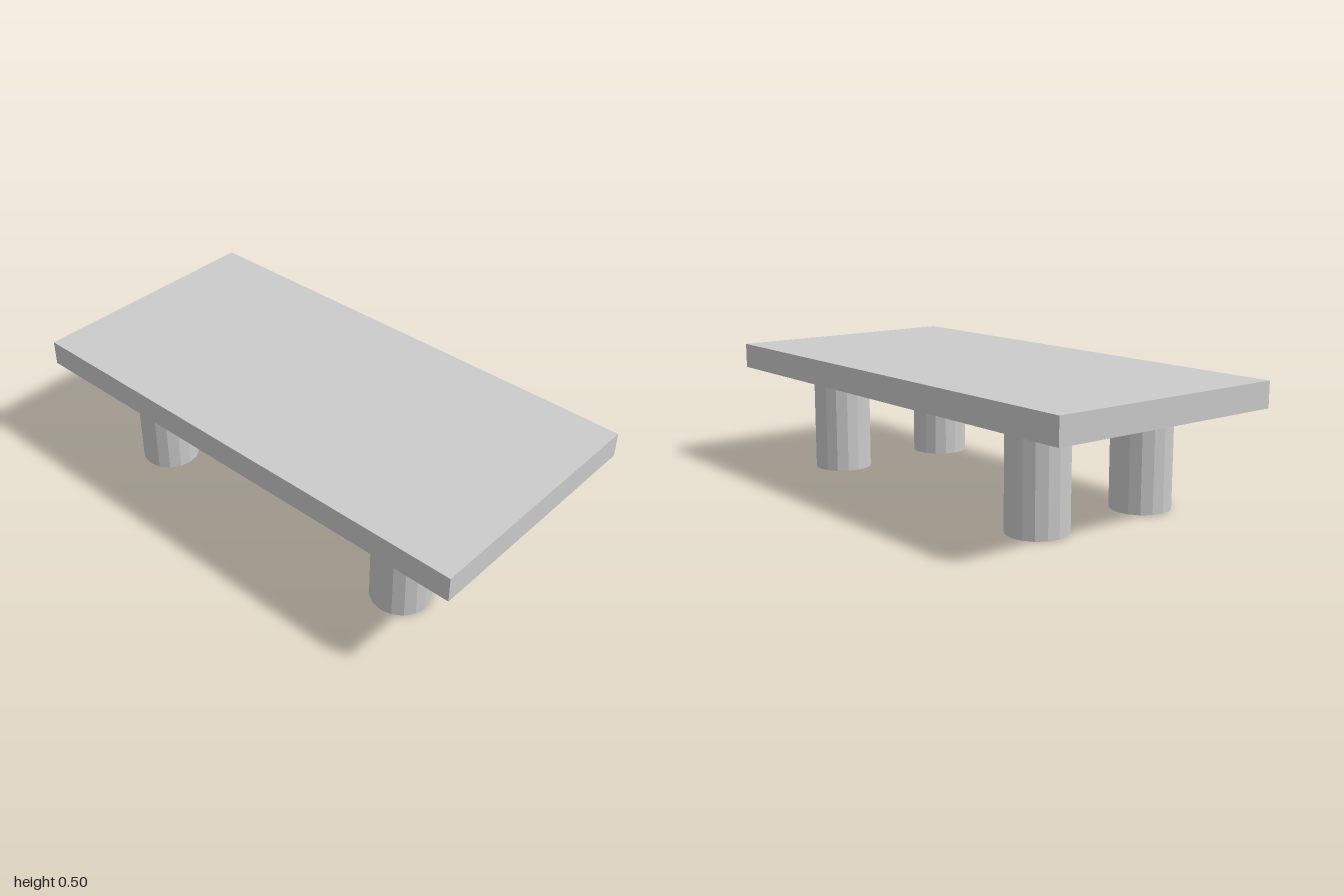
import * as THREE from 'three';

const TOP_Y = 0.5, SLAB = 0.1, LEG_HEIGHT = TOP_Y - SLAB;

export function createModel() {
  const model = new THREE.Group();
  model.name = 'lowTable';
  const material = new THREE.MeshStandardMaterial({ color: 0xcccccc, flatShading: true });

  // Flat rectangular slab
  const top = new THREE.Mesh(new THREE.BoxGeometry(2, SLAB, 1), material);
  top.name = 'tableTop';
  top.position.y = TOP_Y - SLAB / 2;
  model.add(top);

  // Four stout sixteen-sided legs
  const legGeometry = new THREE.CylinderGeometry(0.116, 0.116, LEG_HEIGHT, 16);
  for (const [endName, z] of [['front', 0.254], ['back', -0.254]]) {
    for (const [sideName, x] of [['Left', 0.625], ['Right', -0.625]]) {
      const leg = new THREE.Mesh(legGeometry, material);
      leg.name = `${endName}${sideName}Leg`;
      leg.position.set(x, LEG_HEIGHT / 2, z);
      model.add(leg);
    }
  }
  return model;
}
